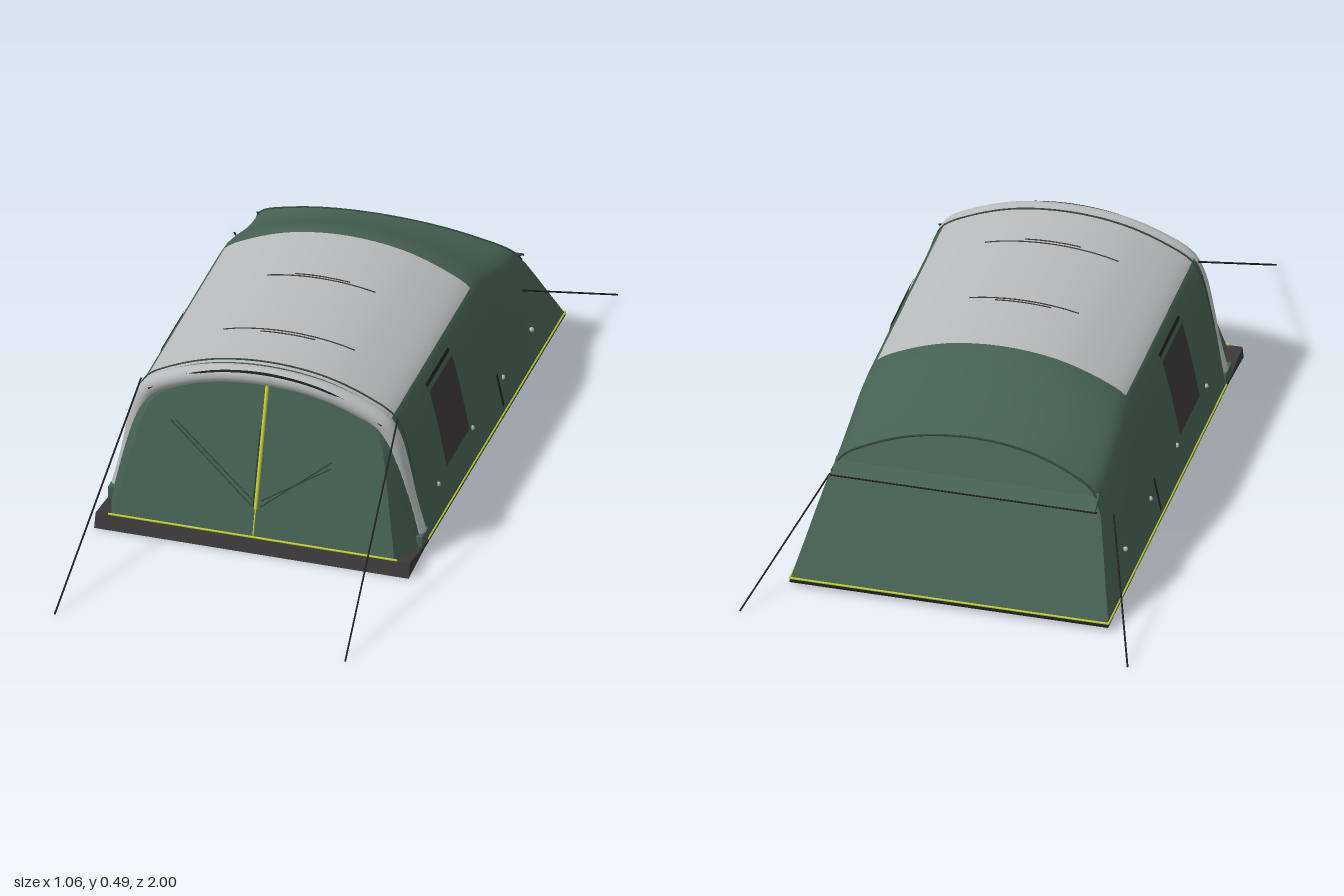
import * as THREE from 'three';

const mat = (name, color, side = THREE.DoubleSide) => {
  const m = new THREE.MeshStandardMaterial({ color, side });
  m.name = name;
  return m;
};

export function createModel() {
  const root = new THREE.Group();
  const green = mat('fabric green', 0x466152);
  const grey = mat('roof grey', 0xb8babb);
  const dark = mat('window charcoal', 0x3b393a);
  const black = mat('floor black', 0x222222);
  const yellow = mat('trim yellow', 0xc6d434);
  const seam = mat('seam green', 0x33483c);

  const add = (name, geo, m) => {
    const mesh = new THREE.Mesh(geo, m);
    mesh.name = name;
    root.add(mesh);
    return mesh;
  };
  const V = (x, y, z) => new THREE.Vector3(x, y, z);
  const tube = (name, pts, r, m, sides = 6) =>
    add(name, new THREE.TubeGeometry(new THREE.CatmullRomCurve3(pts), pts.length * 4, r, sides), m);
  const rod = (name, a, b, r, m) => {
    const geo = new THREE.CylinderGeometry(r, r, a.distanceTo(b), 6);
    const mesh = add(name, geo, m);
    mesh.position.copy(a).lerp(b, 0.5);
    mesh.quaternion.setFromUnitVectors(V(0, 1, 0), b.clone().sub(a).normalize());
  };
  // Side outline given as [z, y], stretched across the width
  const prism = (name, outline, half, m) => {
    const shape = new THREE.Shape(outline.map(p => new THREE.Vector2(...p)));
    const geo = new THREE.ExtrudeGeometry(shape, { depth: half * 2, bevelEnabled: false });
    add(name, geo.rotateY(-Math.PI / 2).translate(half, 0, 0), m);
  };

  // Half of the arched cross-section, from the ground to the ridge
  const half = [[0.435, 0.02], [0.408, 0.15], [0.388, 0.25], [0.366, 0.34],
    [0.34, 0.39], [0.27, 0.432], [0.15, 0.474], [0, 0.49]];
  const full = [...half, ...half.slice(0, -1).reverse().map(([x, y]) => [-x, y])];
  const curve = new THREE.CatmullRomCurve3(full.map(([x, y]) => V(x, y, 0)));
  const N = 56;
  const profile = Array.from({ length: N + 1 }, (_, i) => curve.getPoint(i / N));
  const section = (baseZ, topZ, topY = 0.49) => profile.map(p => {
    const v = (p.y - 0.02) / 0.47;
    return V(p.x, 0.02 + v * (topY - 0.02), baseZ + (topZ - baseZ) * v);
  });

  const geometry = (pts, index) => {
    const geo = new THREE.BufferGeometry().setFromPoints(pts);
    geo.setIndex(index);
    geo.computeVertexNormals();
    return geo;
  };
  // Skin through sections; faces picked by isGrey come in a second material group
  const loft = (name, sections, isGrey = () => false) => {
    const a = [], b = [];
    for (let j = 0; j < sections.length - 1; j++) {
      for (let i = 0; i < N; i++) {
        const p = j * (N + 1) + i, q = p + N + 1;
        (isGrey(j, i) ? b : a).push(p, q, p + 1, p + 1, q, q + 1);
      }
    }
    const geo = geometry(sections.flat(), [...a, ...b]);
    geo.addGroup(0, a.length, 0);
    geo.addGroup(a.length, b.length, 1);
    add(name, geo, [green, grey]);
  };
  // Flat end wall closing a section
  const endWall = (name, s, front) => {
    const index = [];
    for (let i = 0; i < N / 2; i++) {
      const a = i, b = N - i, c = i + 1, d = N - i - 1;
      index.push(...(front ? [a, c, b] : [a, b, c]));
      if (c !== d) index.push(...(front ? [b, c, d] : [b, d, c]));
    }
    add(name, geometry(s, index), green);
  };

  // Main body: straight tunnel, then a roof falling towards the rear
  const stations = [[0.39, 0.39], [0.15, 0.15], [-0.1, -0.1], [-0.305, -0.305],
    [-0.37, -0.35, 0.484], [-0.45, -0.4, 0.464], [-0.54, -0.45, 0.438], [-0.62, -0.5, 0.415],
    [-0.72, -0.55, 0.396], [-0.84, -0.6, 0.385]].map(s => section(...s));
  loft('body', stations, (j, i) => j < 3 && i >= 16 && i < 40);
  const rear = stations[stations.length - 1];
  endWall('rearWall', rear, false);
  tube('rearArchSeam', rear.slice(12, 45), 0.003, seam);
  prism('rearLip', [[-0.65, 0.3], [-0.7, 0.272], [-0.67, 0.268]], 0.36, green);
  rod('rearLipEdge', V(-0.365, 0.27, -0.698), V(0.365, 0.27, -0.698), 0.003, black);

  // Sloping front porch
  const frontZ = y => 0.53 - (y - 0.04) * 0.325;
  const porch = profile.map(p => {
    const y = 0.04 + (p.y - 0.02) * 0.862;
    return V(p.x * 0.9, y, frontZ(y));
  });
  loft('porchSides', [porch, stations[0]]);
  endWall('frontWall', porch, true);

  // Front zip, hem and fabric seams
  const onFront = (x, y) => V(x, y, frontZ(y) + 0.002);
  rod('zip', onFront(0, 0.115), onFront(0, 0.443), 0.005, yellow);
  rod('zipLower', onFront(0, 0.04), onFront(0, 0.115), 0.002, yellow);
  rod('frontHem', onFront(-0.4, 0.042), onFront(0.4, 0.042), 0.003, yellow);
  rod('zipFlap', onFront(-0.008, 0.12), onFront(-0.008, 0.32), 0.002, seam);
  for (const d of [0, 0.016]) {
    rod('frontSeam', onFront(-0.255 + d, 0.31), onFront(-0.012, 0.122 + d), 0.0018, seam);
    rod('frontSeam', onFront(0.195, 0.265 - d), onFront(0.012, 0.122 + d), 0.0018, seam);
  }

  // Ground sheet and front skirt
  const floor = add('floor', new THREE.BoxGeometry(0.87, 0.008, 1.25), black);
  floor.position.set(0, 0.016, -0.22);
  prism('frontSkirt', [[0.4, 0.012], [0.545, 0], [0.532, 0.04], [0.4, 0.022]], 0.435, dark);
  rod('rearHem', V(-0.435, 0.023, -0.842), V(0.435, 0.023, -0.842), 0.003, yellow);

  // Inflated front beam with dark piping
  const beam = full.map(([x, y]) => {
    const yy = Math.max(y, 0.05);
    return V(x * 0.945, yy - 0.024 * (yy / 0.49) ** 3, 0.385 + 0.02 * (yy / 0.49));
  });
  tube('frontBeam', beam, 0.025, grey, 14);
  tube('beamPiping', full.slice(4, 11).map(([x, y]) => V(x * 0.95, y - 0.009, 0.421)), 0.005, black);
  tube('beamSeam', section(0.374, 0.374).slice(6, 51), 0.003, seam);

  // Fine seams across the roof
  for (const [z, reach] of [[-0.085, 0.11], [-0.075, 0.17], [0.21, 0.2], [0.222, 0.11]]) {
    tube('roofSeam', section(z, z).filter(p => Math.abs(p.x) < reach), 0.002, dark);
  }

  // Wall position at a given height
  const wallX = y => {
    const i = Math.max(1, half.findIndex(p => p[1] >= y));
    const [a, b] = [half[i - 1], half[i]];
    return a[0] + (b[0] - a[0]) * (y - a[1]) / (b[1] - a[1]);
  };
  for (const s of [1, -1]) {
    const patch = (name, z0, z1, y0, y1, m) => {
      const pts = [], index = [], n = 8;
      for (let i = 0; i <= n; i++) {
        const y = y0 + (y1 - y0) * i / n, x = s * (wallX(y) + 0.005);
        pts.push(V(x, y, z0), V(x, y, z1));
        const k = i * 2;
        if (i < n) index.push(...(s > 0 ? [k, k + 2, k + 1, k + 1, k + 2, k + 3]
          : [k, k + 1, k + 2, k + 1, k + 3, k + 2]));
      }
      add(name, geometry(pts, index), m);
    };
    patch('sideWindow', -0.045, 0.155, 0.12, 0.34, dark);
    patch('windowTrim', -0.045, 0.155, 0.352, 0.362, black);
    patch('sideVent', -0.306, -0.293, 0.045, 0.14, black);
    for (const z of [0.225, -0.075, -0.345, -0.6]) {
      const dot = add('pegTab', new THREE.SphereGeometry(0.007, 8, 6), grey);
      dot.position.set(s * wallX(0.105), 0.105, z);
    }
    rod('sideHem', V(s * 0.435, 0.023, 0.37), V(s * 0.435, 0.023, -0.842), 0.003, yellow);
    rod('cornerStrap', V(s * 0.37, 0.042, 0.532), V(s * 0.43, 0.02, 0.47), 0.003, yellow);
    const foot = add('beamFoot', new THREE.BoxGeometry(0.045, 0.045, 0.06), green);
    foot.position.set(s * 0.412, 0.035, 0.395);
    // Guy ropes
    rod('frontRope', V(s * 0.355, 0.385, 0.385), V(s * 0.402, 0.002, 1), 0.0025, black);
    rod('rearRope', V(s * 0.388, 0.215, -0.61), V(s * 0.53, 0.002, -1), 0.0025, black);
  }
  return root;
}
